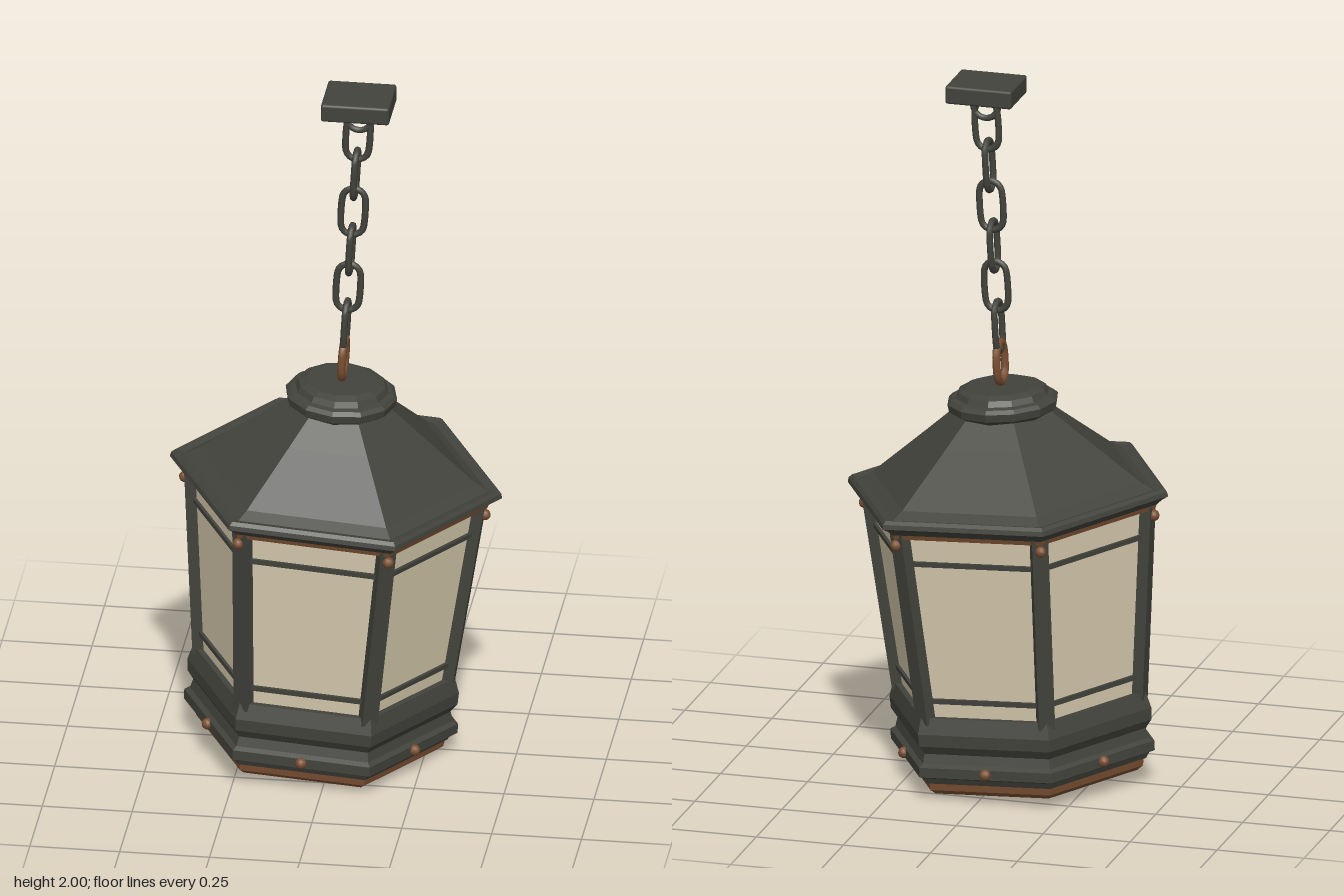
import * as THREE from 'three';
import { RoundedBoxGeometry } from 'three/addons/geometries/RoundedBoxGeometry.js';

export function createModel() {
  const mat = (name, color) => {
    const m = new THREE.MeshStandardMaterial({ color });
    m.name = name;
    return m;
  };
  const iron = mat('dark iron', 0x42433c);
  const copper = mat('aged copper', 0x7a4f32);
  const glass = mat('warm glass', 0xd8cbae);

  const add = (parent, name, geo, material) => {
    const m = new THREE.Mesh(geo, material);
    m.name = name;
    parent.add(m);
    return m;
  };
  // Faceted turned shape; profile is [radius, height] from bottom to top, one corner on +x
  const turned = (profile, sides = 6) => {
    const pts = profile.map(([r, h]) => new THREE.Vector2(r, h));
    const g = new THREE.LatheGeometry(pts, sides, Math.PI / 2 - (2 * Math.PI) / sides).toNonIndexed();
    g.computeVertexNormals();
    return g;
  };
  // Stadium-shaped chain link in the XY plane
  const link = (halfW, halfH, tube) => {
    const pts = [];
    for (let i = 0; i < 16; i++) {
      const a = (i / 16) * Math.PI * 2 + Math.PI / 16;
      const s = Math.sin(a);
      pts.push(new THREE.Vector3(Math.cos(a) * halfW, s * halfW + Math.sign(s) * (halfH - halfW), 0));
    }
    return new THREE.TubeGeometry(new THREE.CatmullRomCurve3(pts, true), 32, tube, 8, true);
  };

  const root = new THREE.Group();
  root.name = 'hangingLantern';

  // Ceiling plate stays level; everything below hangs at a slight swing
  add(root, 'ceilingPlate', new RoundedBoxGeometry(0.19, 0.052, 0.16, 2, 0.007), iron)
    .position.set(0.061, 1.974, 0);
  const swing = new THREE.Group();
  swing.name = 'swing';
  swing.position.set(0.0625, 1.93, 0);
  swing.rotation.z = -0.058;
  root.add(swing);
  const hang = new THREE.Group();
  hang.name = 'hangingParts';
  hang.position.y = -1.903;
  swing.add(hang);

  // Chain, alternating link by link
  add(hang, 'plateRing', new THREE.TorusGeometry(0.036, 0.009, 8, 24), iron).position.y = 1.9;
  const linkGeo = link(0.032, 0.071, 0.0095);
  for (let i = 0; i < 6; i++) {
    const l = add(hang, 'chainLink', linkGeo, iron);
    l.position.y = 1.262 + i * 0.1165;
    l.rotation.y = i % 2 ? 0 : Math.PI / 2;
  }
  const ring = add(hang, 'topRing', link(0.038, 0.056, 0.0115), copper);
  ring.position.y = 1.158;
  ring.rotation.y = Math.PI / 2;

  const body = new THREE.Group();
  body.name = 'lanternBody';
  body.rotation.y = -0.028;
  hang.add(body);

  // Roof with rim, and the stepped cap on top
  add(body, 'roof', turned([
    [0, 0.765], [0.43, 0.765], [0.445, 0.778], [0.465, 0.79], [0.462, 0.803], [0.452, 0.812],
    [0.425, 0.806], [0.39, 0.825], [0.22, 0.958], [0.13, 1.03], [0, 1.03],
  ]), iron);
  add(body, 'roofCap', turned([
    [0.125, 1.012], [0.152, 1.03], [0.156, 1.052], [0.145, 1.062],
    [0.13, 1.066], [0.122, 1.082], [0.1, 1.091], [0, 1.091],
  ], 12), iron);
  add(body, 'roofTrim', turned([[0.38, 0.752], [0.425, 0.752], [0.43, 0.766], [0.38, 0.766]]), copper);

  // Glass and its horizontal bars
  const glassR = (h) => 0.345 + (h - 0.2) * 0.1;
  add(body, 'glassPanels', turned([[glassR(0.2), 0.2], [glassR(0.76), 0.76]]), glass);
  for (const h of [0.268, 0.675]) {
    const r = glassR(h);
    add(body, 'glazingBar', turned([
      [r - 0.003, h - 0.007], [r + 0.01, h - 0.007], [r + 0.011, h + 0.007], [r - 0.003, h + 0.007],
    ]), iron);
  }

  // Base moulding, copper tray and dark bottom plate
  add(body, 'base', turned([
    [0, 0.028], [0.356, 0.028], [0.366, 0.045], [0.383, 0.052], [0.383, 0.08], [0.368, 0.088], [0.36, 0.115],
    [0.378, 0.14], [0.38, 0.175], [0.366, 0.22], [0, 0.22],
  ]), iron);
  add(body, 'bottomTray', turned([[0, -0.008], [0.328, -0.008], [0.346, 0.006], [0.35, 0.03]]), copper);
  add(body, 'bottomPlate', turned([[0, -0.012], [0.295, -0.012], [0.3, -0.006]]), iron);

  // Corner posts with top rivets, and a base rivet on each side
  const postGeo = new THREE.BoxGeometry(0.04, 0.57, 0.046);
  const rivetGeo = new THREE.SphereGeometry(0.016, 10, 8);
  for (let i = 0; i < 6; i++) {
    const corner = new THREE.Group();
    corner.name = 'corner';
    corner.rotation.y = (i * Math.PI) / 3;
    body.add(corner);
    const post = add(corner, 'cornerPost', postGeo, iron);
    post.position.set(0.372, 0.485, 0);
    post.rotation.z = -0.1;
    add(corner, 'postRivet', rivetGeo, copper).position.set(0.42, 0.733, 0);

    const side = new THREE.Group();
    side.name = 'side';
    side.rotation.y = ((i + 0.5) * Math.PI) / 3;
    body.add(side);
    add(side, 'baseRivet', rivetGeo, copper).position.set(0.335, 0.068, 0);
  }
  return root;
}
